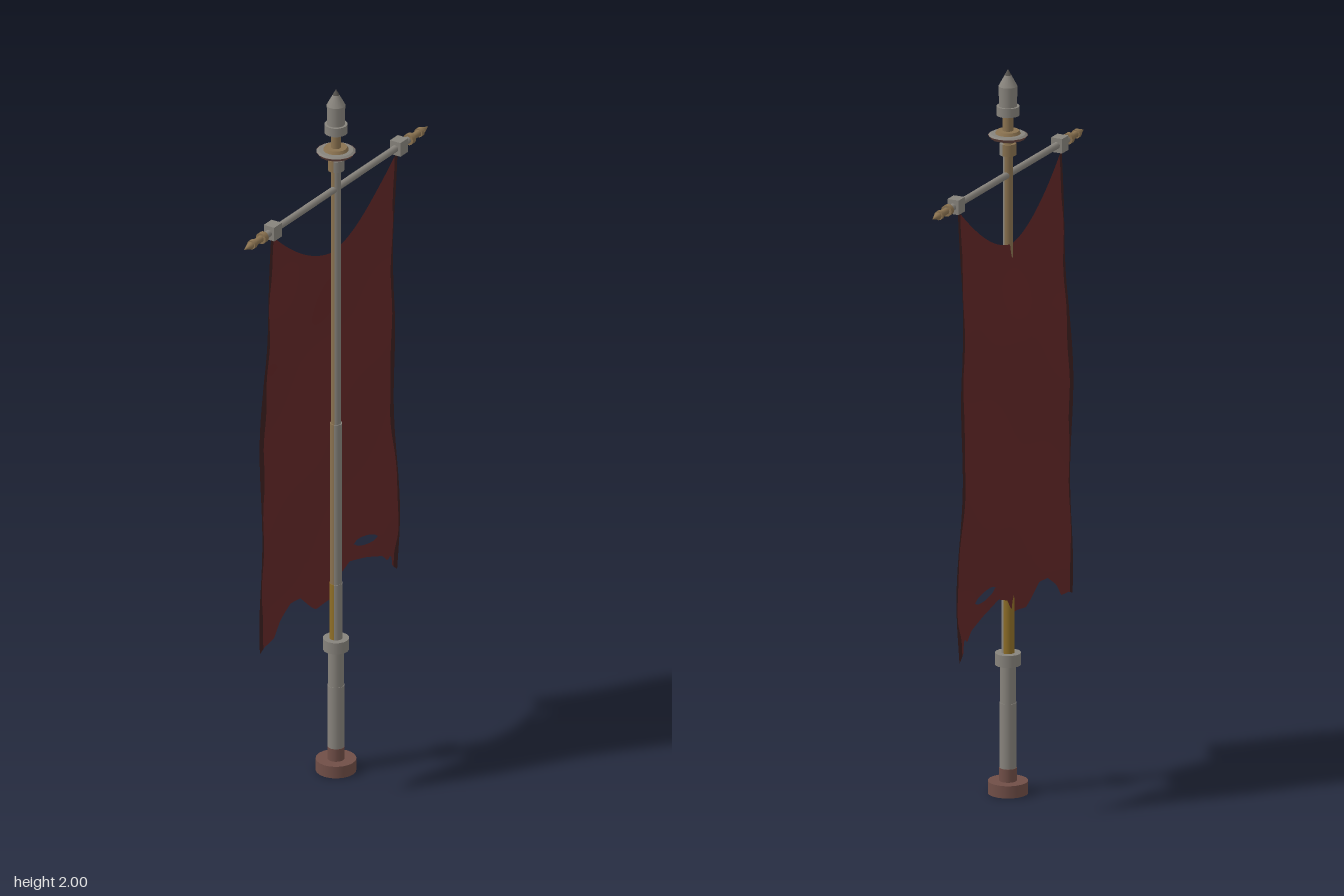
import * as THREE from 'three';

const mat = (name, color, side = THREE.FrontSide) => {
  const m = new THREE.MeshStandardMaterial({ color, side });
  m.name = name;
  return m;
};

// Bottom edge of the torn cloth: [z, y] from one side to the other
const HEM = [[-0.325, 0.45], [-0.3, 0.47], [-0.29, 0.51], [-0.275, 0.495], [-0.25, 0.52], [-0.18, 0.545],
  [-0.1, 0.565], [-0.04, 0.545], [0, 0.5], [0.03, 0.5], [0.07, 0.495], [0.09, 0.51], [0.13, 0.55],
  [0.17, 0.55], [0.215, 0.52], [0.25, 0.48], [0.3, 0.475], [0.325, 0.465]];
const lerp = THREE.MathUtils.lerp;

function hemY(z) {
  for (let i = 1; i < HEM.length; i++) {
    const [z0, y0] = HEM[i - 1], [z1, y1] = HEM[i];
    if (z <= z1) return lerp(y0, y1, (z - z0) / (z1 - z0));
  }
  return HEM[HEM.length - 1][1];
}
const topY = (s) => 1.52 + 0.175 * Math.pow(Math.abs(s), 1.6);

// The tear opens between a raised and a lowered line; elsewhere both lines meet
function tearY(s, sign) {
  const d = (s * 0.325 + 0.175) / 0.048;
  const gap = Math.abs(d) < 1 ? 0.013 * Math.sqrt(1 - d * d) : 0;
  return 0.597 + 0.008 * d + sign * gap;
}
// Gentle sideways billow, tight against the bar at the top
function clothPoint(s, y) {
  const z = s * lerp(0.325, 0.302, THREE.MathUtils.clamp((y - 0.6) / 1.1, 0, 1));
  const fall = THREE.MathUtils.clamp((1.72 - y) / 0.45, 0, 1);
  const x = -0.004 - fall * (0.019 + 0.006 * Math.sin(y * 11 + z * 7) + 0.005 * Math.sin(z * 17 - y * 4));
  return [x, y, z];
}

// Grid of cloth between two side lines and two height lines
function clothPanel(sideA, sideB, upper, lower, cols, rows) {
  const pos = [], idx = [];
  for (let j = 0; j <= rows; j++) {
    for (let i = 0; i <= cols; i++) {
      const v = j / rows;
      // first guess of the height sets the wavy side lines
      const yGuess = lerp(upper(0.95), lower(0.95), v);
      const s = lerp(sideA(yGuess), sideB(yGuess), i / cols);
      pos.push(...clothPoint(s, lerp(upper(s), lower(s), v)));
      if (i < cols && j < rows) {
        const a = j * (cols + 1) + i, b = a + cols + 1;
        idx.push(a, b, a + 1, a + 1, b, b + 1);
      }
    }
  }
  const g = new THREE.BufferGeometry();
  g.setAttribute('position', new THREE.Float32BufferAttribute(pos, 3));
  g.setIndex(idx);
  g.computeVertexNormals();
  return g;
}

export function createModel() {
  const steel = mat('steel grey', 0x87837c);
  const bronze = mat('worn bronze', 0x8a7250);
  const ochre = mat('ochre patina', 0x8f6f28);
  const rust = mat('rusty brown', 0x704e47);
  const dark = mat('dark steel', 0x55524e);
  const cloth = mat('red cloth', 0x622727, THREE.DoubleSide);
  const edge = mat('dark frayed cloth', 0x3c1f1f, THREE.DoubleSide);

  const model = new THREE.Group();
  model.name = 'bannerStandard';
  const add = (name, geo, material, parent = model) => {
    const m = new THREE.Mesh(geo, material);
    m.name = name;
    parent.add(m);
    return m;
  };
  // Upright round section from y0 to y1
  const round = (name, y0, y1, r0, r1, material, parent) => {
    const m = add(name, new THREE.CylinderGeometry(r1, r0, y1 - y0, 16), material, parent);
    m.position.y = (y0 + y1) / 2;
  };
  // Round section with a clean +x face and a worn remainder
  const twoTone = (name, y0, y1, r, worn) => {
    const a = THREE.MathUtils.degToRad(75);
    [[Math.PI / 2 - a, 2 * a, steel], [Math.PI / 2 + a, 2 * Math.PI - 2 * a, worn]].forEach(([t, len, m]) => {
      const c = add(name, new THREE.CylinderGeometry(r, r, y1 - y0, 10, 1, false, t, len), m);
      c.position.y = (y0 + y1) / 2;
    });
  };

  // Foot with a recessed underside
  const foot = [[0, 0.02], [0.034, 0.02], [0.034, 0.02], [0.036, 0], [0.036, 0], [0.054, 0], [0.054, 0],
    [0.054, 0.034], [0.054, 0.034], [0, 0.034]].map(([x, y]) => new THREE.Vector2(x, y));
  add('foot', new THREE.LatheGeometry(foot, 20), rust);
  round('footSocket', 0.034, 0.07, 0.0235, 0.0235, rust);

  // Shaft
  round('grip', 0.07, 0.25, 0.0225, 0.0225, steel);
  round('gripUpper', 0.25, 0.36, 0.021, 0.021, steel);
  round('gripCollar', 0.355, 0.388, 0.035, 0.035, steel);
  twoTone('shaftLower', 0.388, 0.55, 0.0175, ochre);
  twoTone('shaftMiddle', 0.55, 1.02, 0.0165, bronze);
  twoTone('shaftUpper', 1.02, 1.77, 0.0135, bronze);

  // Finial
  twoTone('finialCollar', 1.765, 1.797, 0.022, bronze);
  round('finialNeck', 1.797, 1.88, 0.014, 0.014, bronze);
  round('finialGuard', 1.811, 1.82, 0.046, 0.053, rust);
  round('finialGuardTop', 1.82, 1.824, 0.052, 0.046, steel);
  round('finialGuardHub', 1.824, 1.832, 0.034, 0.03, bronze);
  round('spearCollar', 1.875, 1.9, 0.031, 0.031, steel);
  round('spearBody', 1.9, 1.955, 0.024, 0.025, steel);
  round('spearShoulder', 1.955, 1.985, 0.025, 0.009, steel);
  round('spearTip', 1.985, 2.0, 0.009, 0.001, dark);

  // Crossbar along z
  const bar = add('crossbar', new THREE.CylinderGeometry(0.0095, 0.0095, 0.72, 14), steel);
  bar.rotation.x = Math.PI / 2;
  bar.position.y = 1.71;
  for (const side of [1, -1]) {
    const end = new THREE.Group();
    end.name = side > 0 ? 'crossbarEndFront' : 'crossbarEndBack';
    end.position.y = 1.71;
    end.rotation.x = side * Math.PI / 2;
    model.add(end);
    const clamp = add('clamp', new THREE.BoxGeometry(0.033, 0.037, 0.04), steel, end);
    clamp.position.y = 0.302;
    round('barCollar', 0.345, 0.36, 0.0155, 0.0155, bronze, end);
    round('barRod', 0.36, 0.41, 0.009, 0.009, bronze, end);
    round('barRing', 0.394, 0.406, 0.0125, 0.0125, bronze, end);
    round('barTip', 0.41, 0.438, 0.01, 0.001, bronze, end);
  }

  // Banner: red field with frayed dark sides, torn near the bottom
  const banner = new THREE.Group();
  banner.name = 'banner';
  model.add(banner);
  const bottom = (s) => hemY(s * 0.325);
  const inner = (y) => 0.955 + 0.025 * Math.sin(y * 9 + 1) + 0.01 * Math.sin(y * 31);
  const bands = [[topY, (s) => tearY(s, 1), 40], [(s) => tearY(s, -1), bottom, 8]];
  for (const [upper, lower, rows] of bands) {
    add('bannerField', clothPanel((y) => -inner(y), inner, upper, lower, 90, rows), cloth, banner);
    add('bannerEdgeFront', clothPanel(inner, () => 1, upper, lower, 4, rows), edge, banner);
    add('bannerEdgeBack', clothPanel(() => -1, (y) => -inner(y), upper, lower, 4, rows), edge, banner);
  }
  return model;
}
